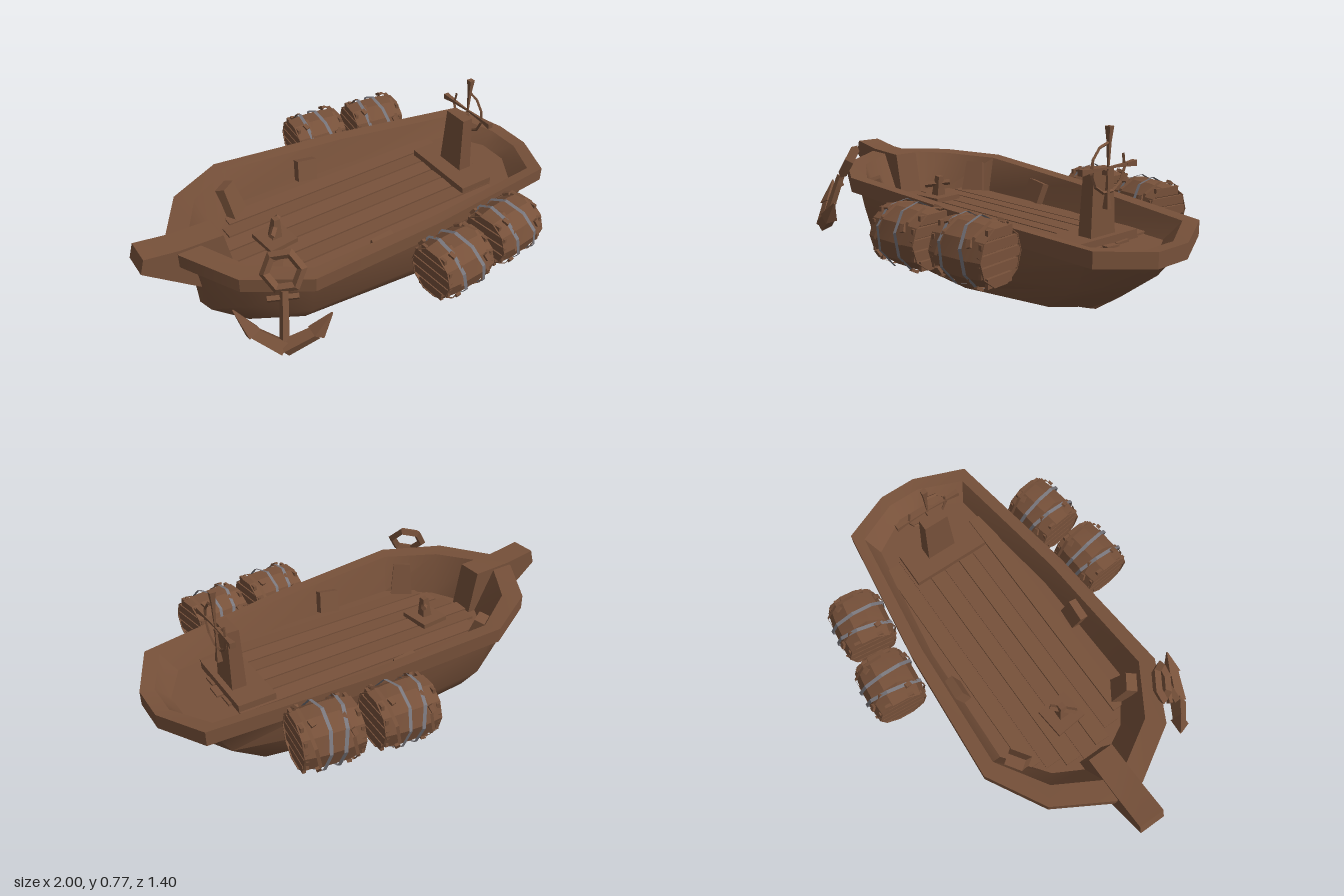
import * as THREE from 'three';
import { toCreasedNormals } from 'three/addons/utils/BufferGeometryUtils.js';

const wood = new THREE.MeshStandardMaterial({ color: 0x77513a, side: THREE.DoubleSide });
wood.name = 'brown wood';
const iron = new THREE.MeshStandardMaterial({ color: 0x78767c, side: THREE.DoubleSide });
iron.name = 'grey iron';

function add(parent, name, geo, mat = wood, crease = 0.5) {
  const mesh = new THREE.Mesh(toCreasedNormals(geo, crease), mat);
  mesh.name = name;
  parent.add(mesh);
  return mesh;
}

function box(parent, name, size, pos, rot = [0, 0, 0]) {
  const mesh = add(parent, name, new THREE.BoxGeometry(...size));
  mesh.position.set(...pos);
  mesh.rotation.set(...rot);
  return mesh;
}

// Tapered square bar between two points
function bar(parent, name, a, b, r0, r1 = r0) {
  const p = new THREE.Vector3(...a), q = new THREE.Vector3(...b);
  const geo = new THREE.CylinderGeometry(r1, r0, p.distanceTo(q), 4).rotateY(Math.PI / 4);
  const mesh = add(parent, name, geo);
  mesh.position.copy(p).lerp(q, 0.5);
  mesh.quaternion.setFromUnitVectors(new THREE.Vector3(0, 1, 0), q.sub(p).normalize());
  return mesh;
}

// Mirror half outlines (bow to stern) into loops and skin them together
function loft(levels) {
  const loops = levels.map(h => [...h, ...h.slice(1, -1).reverse().map(([x, y, z]) => [x, y, -z])]);
  const n = loops[0].length, idx = [];
  for (let l = 0; l < loops.length - 1; l++) {
    for (let i = 0; i < n; i++) {
      const j = (i + 1) % n, a = l * n + i, b = l * n + j;
      idx.push(a, b, b + n, a, b + n, a + n);
    }
  }
  const geo = new THREE.BufferGeometry();
  geo.setAttribute('position', new THREE.Float32BufferAttribute(loops.flat(2), 3));
  geo.setIndex(idx);
  return geo;
}

// Hollow barrel lying along its local x axis, with slatted ends
function makeBarrel(name) {
  const g = new THREE.Group();
  g.name = name;
  const profile = [[0.112, -0.128], [0.116, -0.128], [0.126, -0.05], [0.126, 0.05], [0.116, 0.128], [0.112, 0.128]];
  const body = new THREE.LatheGeometry(profile.map(p => new THREE.Vector2(...p)), 10);
  add(g, 'staves', body.rotateZ(Math.PI / 2), wood, 0.3);
  for (const s of [-1, 1]) {
    for (let i = -2; i <= 2; i++) {
      const y = i * 0.045;
      box(g, 'lidSlat', [0.014, 0.038, 2 * Math.sqrt(0.0128 - y * y)], [s * 0.115, y, 0]);
    }
    // Crooked iron hoop with a wooden band outside it
    for (const [mat, tilt, off, r, w] of [[iron, 0.15, 0.042, 0.139, 0.016], [wood, -0.12, 0.075, 0.135, 0.014]]) {
      const geo = new THREE.CylinderGeometry(r, r, w, 9, 1, true).rotateZ(Math.PI / 2);
      const hoop = add(g, mat === iron ? 'ironHoop' : 'woodHoop', geo, mat, 0.3);
      hoop.position.x = s * off;
      hoop.rotation.set(s * off * 9, tilt * s, tilt);
    }
    for (let i = 0; i < 4; i++) {
      const a = i * 1.57 + s * 0.5;
      box(g, 'hoopPeg', [0.02, 0.03, 0.012], [s * 0.075, Math.sin(a) * 0.132, Math.cos(a) * 0.132], [-a, 0, 0.3]);
    }
  }
  return g;
}

export function createModel() {
  const boat = new THREE.Group();
  boat.name = 'rowBoat';

  // Hull outlines from keel to rim
  const keel = [[-0.66, 0.09, 0], [-0.6, 0.07, 0], [-0.53, 0.045, 0], [-0.44, 0.02, 0], [0.2, 0.01, 0], [0.54, 0.002, 0], [0.6, 0.012, 0], [0.64, 0.02, 0]];
  const chine = [[-0.76, 0.13, 0], [-0.74, 0.13, 0.07], [-0.62, 0.1, 0.18], [-0.4, 0.08, 0.28], [0.2, 0.07, 0.32], [0.62, 0.085, 0.25], [0.7, 0.07, 0.09], [0.7, 0.065, 0]];
  const side = [[-0.77, 0.27, 0], [-0.76, 0.27, 0.08], [-0.65, 0.25, 0.25], [-0.41, 0.2, 0.37], [0.2, 0.16, 0.37], [0.77, 0.2, 0.27], [0.87, 0.2, 0.09], [0.87, 0.2, 0]];
  const top = [[-0.8, 0.43, 0], [-0.78, 0.43, 0.08], [-0.67, 0.42, 0.28], [-0.43, 0.4, 0.41], [0.2, 0.37, 0.385], [0.84, 0.32, 0.3], [0.95, 0.3, 0.09], [0.95, 0.3, 0]];
  add(boat, 'hull', loft([keel, chine, side, top]), wood, 0.9);

  // Gunwale and inner walls
  const outer = [[-0.85, 0.49, 0], [-0.84, 0.49, 0.07], [-0.7, 0.477, 0.31], [-0.44, 0.462, 0.455], [0.2, 0.425, 0.415], [0.89, 0.385, 0.325], [1, 0.36, 0.09], [1, 0.36, 0]];
  const outerLow = outer.map(([x, y, z]) => [x, y - 0.065, z]);
  const inner = [[-0.74, 0.49, 0], [-0.74, 0.488, 0.06], [-0.63, 0.472, 0.25], [-0.41, 0.457, 0.39], [0.2, 0.42, 0.36], [0.84, 0.38, 0.28], [0.94, 0.355, 0.08], [0.94, 0.355, 0]];
  const floor = [[-0.64, 0.295, 0], [-0.64, 0.295, 0.06], [-0.57, 0.295, 0.19], [-0.38, 0.295, 0.335], [0.2, 0.295, 0.32], [0.78, 0.295, 0.24], [0.88, 0.295, 0.07], [0.88, 0.295, 0]];
  add(boat, 'gunwale', loft([top, outerLow, outer, inner]), wood, 0.4);
  add(boat, 'innerWall', loft([inner, floor]), wood, 0.6);
  add(boat, 'deckFloor', loft([floor, floor.map(([x, y]) => [x, y, 0])]));

  // Deck planks
  for (let i = -3; i <= 3; i++) {
    const z = i * 0.08, x0 = -0.62 + Math.abs(z) * 0.5, x1 = 0.72 - Math.abs(z) * 0.2;
    box(boat, 'deckPlank', [x1 - x0, 0.012, 0.072], [(x0 + x1) / 2, 0.299, z], [i % 2 ? 0.05 : -0.05, 0, 0]);
  }

  // Bow beak with the stem knee running down to the deck
  const beak = new THREE.Shape([[-1, 0.46], [-0.765, 0.27], [-0.6, 0.29], [-0.64, 0.495], [-0.83, 0.503], [-0.98, 0.527]].map(p => new THREE.Vector2(...p)));
  const beakGeo = new THREE.ExtrudeGeometry(beak, { depth: 0.12, bevelEnabled: false }).translate(0, 0, -0.06);
  add(boat, 'bowBeak', beakGeo);

  // Wall blocks
  for (const s of [-1, 1]) {
    const block = new THREE.CylinderGeometry(0.05, 0.065, 0.15, 4).rotateY(Math.PI / 4).scale(1.15, 1, 0.75);
    const mesh = add(boat, 'bowBlock', block);
    mesh.position.set(-0.45, 0.365, s * 0.295);
    mesh.rotation.set(s * 0.3, s * -0.6, 0, 'YXZ');
    box(boat, 'sideBlock', [0.1, 0.1, 0.045], [-0.03, 0.35, s * 0.325], [s * 0.3, 0, s * 0.15]);
  }

  // Mooring post on the fore deck
  box(boat, 'mooringPlate', [0.14, 0.025, 0.15], [-0.38, 0.314, 0], [0, 0.1, 0]);
  bar(boat, 'mooringPost', [-0.38, 0.31, 0], [-0.37, 0.42, 0], 0.035, 0.02);
  bar(boat, 'mooringPin', [-0.42, 0.375, 0.05], [-0.34, 0.39, -0.04], 0.014);

  // Helm: platform, post and wheel
  box(boat, 'helmPlatform', [0.17, 0.035, 0.38], [0.605, 0.317, 0.005]);
  const post = new THREE.CylinderGeometry(0.042, 0.052, 0.28, 4).rotateY(Math.PI / 4).scale(0.9, 1, 2);
  add(boat, 'helmPost', post).position.set(0.632, 0.463, 0);
  const wheel = new THREE.Group();
  wheel.name = 'helmWheel';
  wheel.position.set(0.68, 0.61, 0);
  wheel.rotation.y = Math.PI / 2;
  const ring = new THREE.TorusGeometry(0.1, 0.007, 4, 9, Math.PI * 1.65);
  add(wheel, 'wheelRim', ring.rotateZ(Math.PI / 2), wood, 0.3);
  for (let i = 0; i < 4; i++) {
    const c = Math.round(Math.cos(i * Math.PI / 2)), s = Math.round(Math.sin(i * Math.PI / 2));
    bar(wheel, 'wheelSpoke', [0, 0, 0], [c * 0.12, s * 0.12, 0], 0.005, 0.011);
    bar(wheel, 'wheelHandle', [c * 0.11, s * 0.11, 0], [c * 0.163, s * 0.163, 0], 0.011, 0.018);
  }
  bar(wheel, 'wheelAxle', [0, -0.02, -0.04], [0, -0.02, 0.005], 0.014);
  boat.add(wheel);

  // Anchor hanging off the bow
  const anchor = new THREE.Group();
  anchor.name = 'anchor';
  const eye = add(anchor, 'anchorEye', new THREE.TorusGeometry(0.075, 0.021, 4, 6), wood, 0.3);
  eye.position.set(-0.55, 0.515, 0.395);
  eye.rotation.set(-0.5, -0.65, 0.2, 'YXZ');
  bar(anchor, 'anchorShank', [-0.62, 0.21, 0.5], [-0.57, 0.45, 0.43], 0.022, 0.018);
  bar(anchor, 'anchorStock', [-0.63, 0.41, 0.4], [-0.52, 0.42, 0.46], 0.014);
  const crown = [-0.62, 0.22, 0.5];
  for (const [elbow, tip] of [[[-0.71, 0.29, 0.42], [-0.76, 0.39, 0.36]], [[-0.5, 0.28, 0.545], [-0.43, 0.36, 0.555]]]) {
    bar(anchor, 'anchorArm', crown, elbow, 0.038, 0.03);
    bar(anchor, 'anchorFluke', elbow, tip, 0.04, 0.004);
  }
  boat.add(anchor);

  // Two barrels slung on each side
  for (const s of [-1, 1]) {
    for (const [x, z, turn] of [[0.165, 0.56, 0.08], [0.485, 0.515, 0.13]]) {
      const barrel = makeBarrel('barrel');
      barrel.position.set(x, 0.338, s * z);
      barrel.rotation.y = s * turn;
      boat.add(barrel);
    }
  }
  return boat;
}
